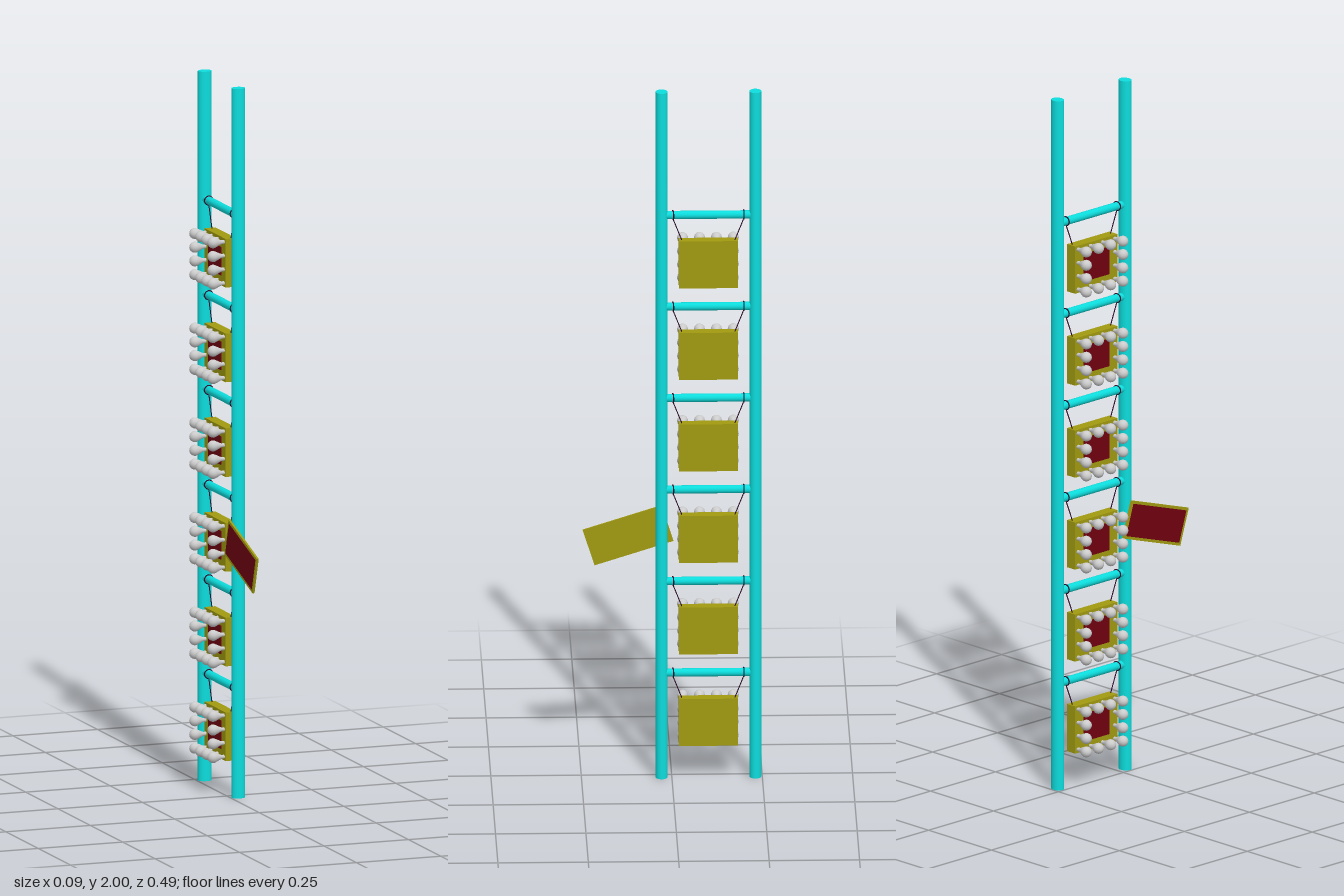
import * as THREE from 'three';

const mat = (color) => new THREE.MeshStandardMaterial({ color });
const cyan = mat(0x0ddcdc), olive = mat(0xa09a10), red = mat(0x700010), cord = mat(0x2a0a2a), grey = mat(0xcccccc);

const POLE_X = 0.0225, SIGN_Z = -0.101;

function add(parent, name, geometry, material, x = 0, y = 0, z = 0) {
  const m = new THREE.Mesh(geometry, material);
  m.name = name;
  m.position.set(x, y, z);
  parent.add(m);
  return m;
}

// Thin cord between two points
function addCord(parent, a, b) {
  const path = new THREE.LineCurve3(new THREE.Vector3(...a), new THREE.Vector3(...b));
  add(parent, 'hangingCord', new THREE.TubeGeometry(path, 1, 0.0015, 6), cord);
}

// Light bulb with a narrow neck, pointing to -x
function bulbGeometry() {
  const pts = [[0.0055, 0], [0.0055, 0.008], [0.008, 0.014], [0.011, 0.02]].map((p) => new THREE.Vector2(...p));
  const r = 0.0155, c = 0.033;
  for (let i = 0; i <= 8; i++) {
    const a = -0.55 + (i / 8) * (Math.PI / 2 + 0.55);
    pts.push(new THREE.Vector2(Math.max(0, r * Math.cos(a)), c + r * Math.sin(a)));
  }
  return new THREE.LatheGeometry(pts, 14).rotateZ(Math.PI / 2);
}

export function createModel() {
  const model = new THREE.Group();
  model.name = 'ladderSign';

  // Two tall poles, slightly oval
  const poleGeo = new THREE.CylinderGeometry(1, 1, 2, 24).scale(0.0195, 1, 0.0165);
  for (const z of [0.0285, -0.231]) add(model, 'pole', poleGeo, cyan, POLE_X, 1, z);

  const rungGeo = new THREE.CylinderGeometry(0.0115, 0.0115, 0.26, 16).rotateX(Math.PI / 2);
  const ringGeo = new THREE.TorusGeometry(0.0125, 0.0018, 6, 20);
  const boxGeo = new THREE.BoxGeometry(0.032, 0.137, 0.163);
  const panelGeo = new THREE.BoxGeometry(0.003, 0.08, 0.098);
  const bulbGeo = bulbGeometry();

  // Six rungs, each with a hanging lit sign
  for (let i = 0; i < 6; i++) {
    const section = new THREE.Group();
    section.name = 'section';
    section.position.y = 0.305 + i * 0.267;
    model.add(section);
    add(section, 'rung', rungGeo, cyan, POLE_X, 0, SIGN_Z);

    const signY = -0.142;
    add(section, 'signBox', boxGeo, olive, 0.0195, signY, SIGN_Z);
    add(section, 'signPanel', panelGeo, red, 0.0027, signY, SIGN_Z);

    // Cords looped over the rung
    for (const s of [-1, 1]) {
      const z = SIGN_Z + s * 0.098;
      const ring = add(section, 'cordLoop', ringGeo, cord, POLE_X, 0, z);
      ring.rotation.y = s > 0 ? 0.15 : 0;
      addCord(section, [POLE_X, -0.011, z], [POLE_X, signY + 0.067, SIGN_Z + s * 0.073]);
    }

    // Twelve bulbs around the edge
    for (let r = 0; r < 4; r++) {
      for (let c = 0; c < 4; c++) {
        if (r % 3 && c % 3) continue;
        add(section, 'bulb', bulbGeo, grey, 0.0035,
          signY + (r - 1.5) * 0.0387, SIGN_Z + (c - 1.5) * 0.0468);
      }
    }
  }

  // Tilted board fixed to the front pole
  const board = new THREE.Group();
  board.name = 'tiltedBoard';
  board.position.set(-0.0035, 0.698, 0.1205);
  board.rotation.x = 0.308;
  model.add(board);
  add(board, 'boardBack', new THREE.BoxGeometry(0.006, 0.108, 0.229), olive, 0.0005);
  add(board, 'boardPanel', new THREE.BoxGeometry(0.002, 0.092, 0.213), red, -0.0025);

  return model;
}
